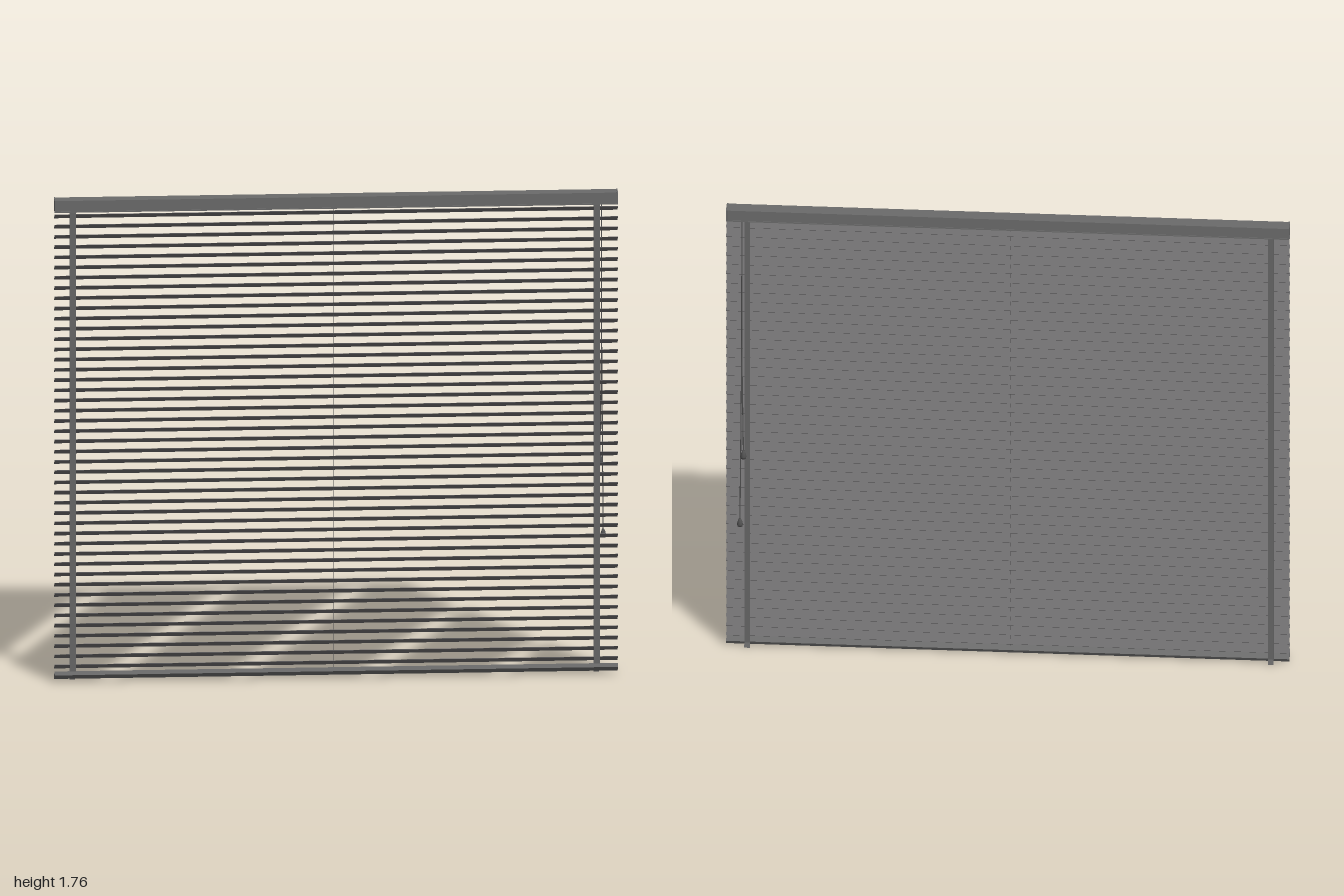
import * as THREE from 'three';

export function createModel() {
  const group = new THREE.Group();
  const material = (name, color, side = THREE.FrontSide) => {
    const m = new THREE.MeshStandardMaterial({ color, side });
    m.name = name;
    return m;
  };
  const railGrey = material('rail grey', 0x6a6a6a);
  const slatGrey = material('slat grey', 0x6c6b6c);
  const tapeGrey = material('tape grey', 0x666666);
  const cordGrey = material('cord grey', 0x525252);

  const add = (name, geometry, mat, x, y, z, parent = group) => {
    const mesh = new THREE.Mesh(geometry, mat);
    mesh.name = name;
    mesh.position.set(x, y, z);
    parent.add(mesh);
    return mesh;
  };
  const box = (w, h, d) => new THREE.BoxGeometry(w, h, d);
  const tube = (points, radius) => new THREE.TubeGeometry(
    new THREE.CatmullRomCurve3(points.map((p) => new THREE.Vector3(...p))), 12, radius, 6);

  // Head rail with end caps and a thin lower lip
  add('headRail', box(1.992, 0.04, 0.053), railGrey, 0, 1.742, 0.003);
  add('headRailLip', box(1.992, 0.004, 0.057), railGrey, 0, 1.721, 0.003);
  for (const side of [-1, 1]) {
    add('endCap', box(0.005, 0.044, 0.057), railGrey, side * 0.9975, 1.741, 0.003);
  }

  // Tilted slats, front edge raised
  const tilt = -Math.PI / 6;
  const slats = new THREE.Group();
  slats.name = 'slats';
  group.add(slats);
  const slatGeometry = box(2, 0.0015, 0.044);
  for (let i = 0; i < 45; i++) {
    add('slat', slatGeometry, slatGrey, 0, 1.7 - i * 0.0374, 0.005, slats).rotation.x = tilt;
  }

  // Bottom rail follows the slat angle
  add('bottomRail', box(2, 0.015, 0.045), railGrey, 0, 0.024, 0.01).rotation.x = tilt;

  // Ladder tapes in front of and behind the slats
  for (const x of [-0.935, 0.925]) {
    add('frontTape', box(0.02, 1.69, 0.0015), tapeGrey, x, 0.875, 0.0255);
    add('backTape', box(0.02, 1.705, 0.0015), tapeGrey, x, 0.8675, -0.0155);
    // Loose tape end below the bottom rail
    add('tapeEnd', box(0.02, 0.02, 0.0015), tapeGrey, x, 0.0085, -0.019).rotation.x = 0.4;
  }

  // Lift cord through the middle of the slats
  add('centreCord', new THREE.CylinderGeometry(0.0015, 0.0015, 1.7, 6), cordGrey, -0.01, 0.87, 0.005);

  // Pull cords ending in tassels
  const tasselProfile = [[0, 0], [0.009, 0.002], [0.011, 0.01], [0.008, 0.022], [0.004, 0.032], [0, 0.034]]
    .map(([r, y]) => new THREE.Vector2(r, y));
  const tasselGeometry = new THREE.LatheGeometry(tasselProfile, 12);
  for (const [x, y, z] of [[0.938, 0.76, -0.019], [0.95, 0.488, -0.022]]) {
    add('pullCord', tube([[0.943, 1.725, -0.014], [0.944, 1.25, -0.017], [x, y + 0.03, z]], 0.002), cordGrey, 0, 0, 0);
    add('tassel', tasselGeometry, cordGrey, x, y, z);
  }
  return group;
}
